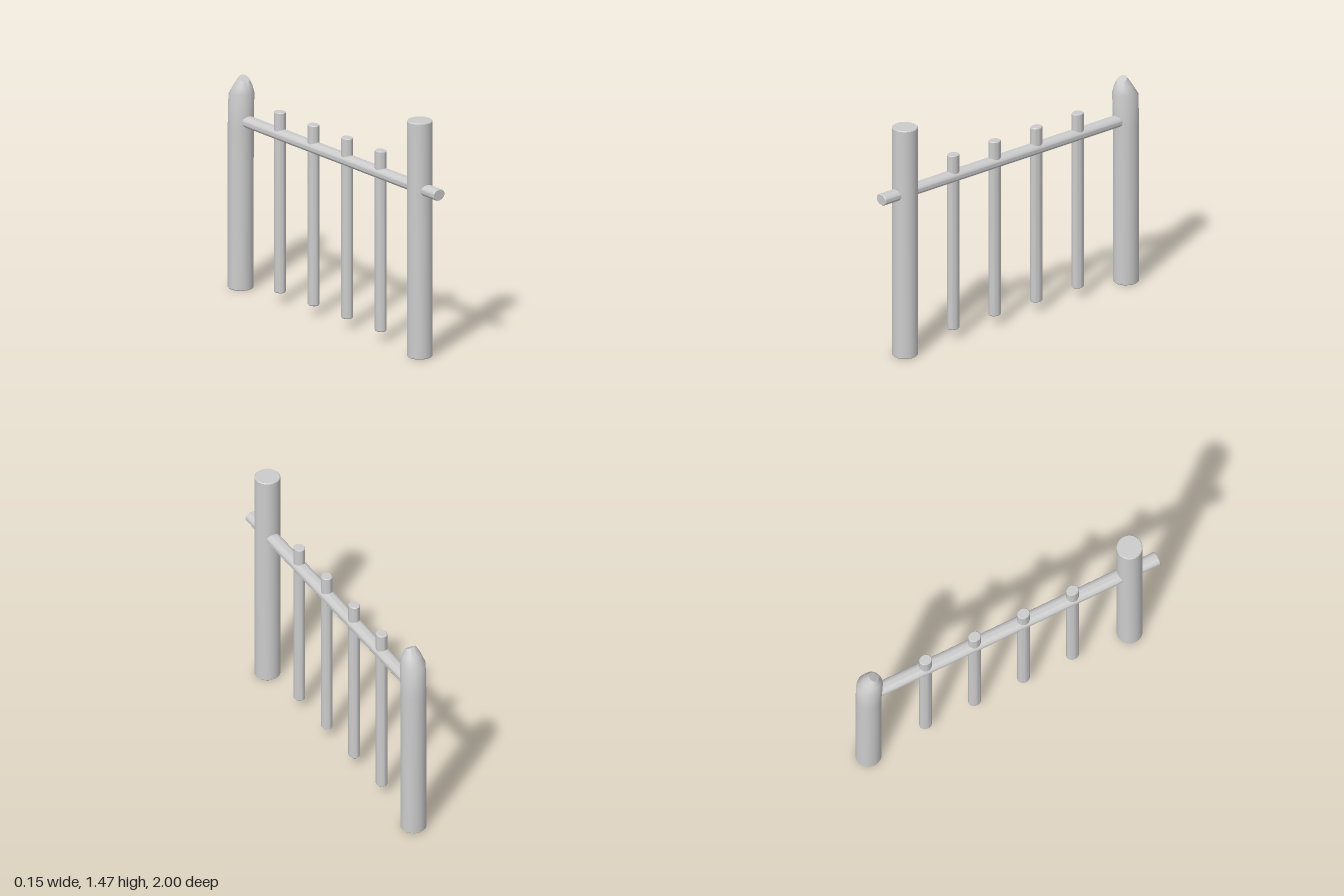
import * as THREE from 'three';
import { toCreasedNormals } from 'three/addons/utils/BufferGeometryUtils.js';

const material = new THREE.MeshStandardMaterial({ color: 0xcccccc });

// Round log standing on y = 0, with slightly eased end edges
function logGeometry(radius, length, sides = 32) {
  const b = 0.005;
  const profile = [
    [0, 0], [radius - b, 0], [radius, b],
    [radius, length - b], [radius - b, length], [0, length],
  ].map(([x, y]) => new THREE.Vector2(x, y));
  return toCreasedNormals(new THREE.LatheGeometry(profile, sides), 0.6);
}

// Post whose top tapers to an off-centre, slanted tip
function brokenPostGeometry() {
  const sides = 28;
  // height, back z, front z, half width, drop of the front edge
  const rings = [
    [0, -0.992, -0.845, 0.072, 0],
    [0.005, -0.997, -0.84, 0.077, 0],
    [0.7, -0.997, -0.84, 0.077, 0],
    [1.0, -0.996, -0.84, 0.077, 0],
    [1.2, -0.992, -0.831, 0.075, -0.02],
    [1.265, -0.951, -0.841, 0.058, 0.01],
    [1.322, -0.912, -0.857, 0.033, 0.034],
  ];
  const pos = [];
  const index = [];
  rings.forEach(([y, back, front, rx, drop]) => {
    for (let i = 0; i < sides; i++) {
      const a = (i / sides) * Math.PI * 2;
      const t = (1 + Math.cos(a)) / 2;
      pos.push(Math.sin(a) * rx, y - drop * t, back + (front - back) * t);
    }
  });
  for (let r = 0; r < rings.length - 1; r++) {
    for (let i = 0; i < sides; i++) {
      const a = r * sides + i;
      const b = r * sides + (i + 1) % sides;
      index.push(a, b, b + sides, a, b + sides, a + sides);
    }
  }
  // Flat underside and slanted tip
  const top = (rings.length - 1) * sides;
  for (let i = 1; i < sides - 1; i++) {
    index.push(0, i + 1, i, top, top + i, top + i + 1);
  }
  const g = new THREE.BufferGeometry();
  g.setAttribute('position', new THREE.Float32BufferAttribute(pos, 3));
  g.setIndex(index);
  return toCreasedNormals(g, 0.6);
}

export function createModel() {
  const group = new THREE.Group();
  const add = (name, geometry, y = 0, z = 0) => {
    const mesh = new THREE.Mesh(geometry, material);
    mesh.name = name;
    mesh.position.set(0, y, z);
    group.add(mesh);
    return mesh;
  };

  // End posts
  add('frontPost', logGeometry(0.077, 1.465), 0, 0.813);
  add('backPost', brokenPostGeometry());

  // Rail, slightly wider than tall, running into the back post
  const rail = logGeometry(1, 1);
  rail.dispose();
  const railGeometry = logGeometry(0.044, 1.88).rotateX(Math.PI / 2).scale(1, 0.8, 1);
  add('rail', railGeometry, 1.045, -0.88);

  // Oval pickets
  const picket = logGeometry(0.039, 1.12, 24).scale(0.85, 1, 1);
  for (let i = 0; i < 4; i++) add(`picket${i + 1}`, picket, 0.065, 0.435 - i * 0.325);

  return group;
}
